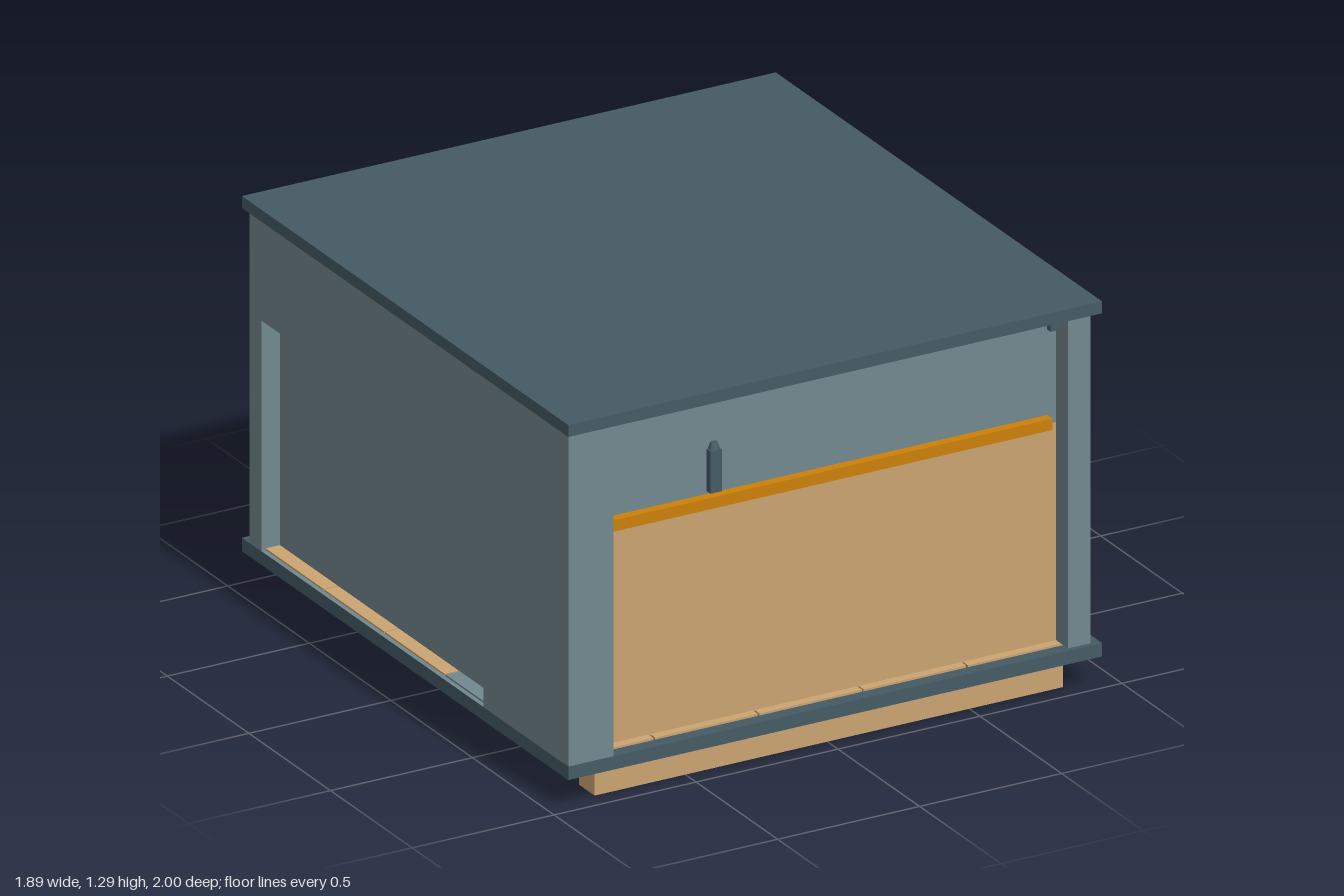
import * as THREE from 'three';

const mat = (name, color) => {
  const m = new THREE.MeshStandardMaterial({ color });
  m.name = name;
  return m;
};

export function createModel() {
  const slate = mat('dark slate', 0x455a64);
  const wall = mat('blue grey', 0x72888f);
  const wood = mat('tan wood', 0xcca472);
  const orange = mat('orange', 0xcc8008);
  const root = new THREE.Group();
  root.name = 'shed';

  const add = (name, geometry, material, parent = root) => {
    const mesh = new THREE.Mesh(geometry, material);
    mesh.name = name;
    parent.add(mesh);
    return mesh;
  };
  // Box given by its limits on each axis
  const box = (name, material, [x0, x1], [y0, y1], [z0, z1], parent = root) => {
    const mesh = add(name, new THREE.BoxGeometry(x1 - x0, y1 - y0, z1 - z0), material, parent);
    mesh.position.set((x0 + x1) / 2, (y0 + y1) / 2, (z0 + z1) / 2);
    return mesh;
  };

  // Floor slab and flat roof
  box('floorSlab', slate, [-0.95, 0.93], [0.105, 0.15], [-1, 1]);
  box('roof', slate, [-0.95, 0.93], [1.25, 1.29], [-1, 1]);

  // Walls
  const wallY = [0.158, 1.25];
  box('rightWall', wall, [0.81, 0.89], wallY, [-0.955, 1]);
  box('backWall', wall, [-0.88, 0.81], wallY, [-0.955, -0.88]);
  box('frontLeftPost', wall, [-0.88, -0.79], [0.15, 1.25], [0.9, 1]);

  // Left wall with a recessed doorway
  const side = new THREE.Shape([[-1, 0.15], [0.955, 0.15], [0.955, 1.25], [-1, 1.25]]
    .map(([a, b]) => new THREE.Vector2(a, b)));
  side.holes.push(new THREE.Path([[-0.48, 0.151], [-0.48, 0.92], [0.88, 0.92], [0.88, 0.151]]
    .map(([a, b]) => new THREE.Vector2(a, b))));
  const leftWall = add('leftWall', new THREE.ExtrudeGeometry(side, { depth: 0.07, bevelEnabled: false }), wall);
  leftWall.rotation.y = Math.PI / 2;
  leftWall.position.x = -0.95;
  box('sideDoor', wall, [-0.885, -0.865], [0.15, 0.95], [-0.9, 0.5]);

  // Front infill: timber below, wall panel above
  box('frontPanel', wood, [-0.79, 0.81], [0.15, 0.885], [0.895, 0.925]);
  box('upperPanel', wall, [-0.79, 0.81], [0.885, 1.25], [0.895, 0.925]);
  box('counterRail', orange, [-0.79, 0.78], [0.877, 0.915], [0.92, 0.957]);
  for (const [x0, x1] of [[-0.79, -0.775], [0.78, 0.81]])
    box('cornerBracket', slate, [x0, x1], [1.2, 1.25], [0.92, 0.945]);

  // Latch on the upper panel
  const latch = new THREE.Group();
  latch.name = 'latch';
  root.add(latch);
  box('latchBody', slate, [-0.42, -0.38], [0.925, 1.065], [0.92, 0.95], latch);
  const knob = add('latchKnob', new THREE.CylinderGeometry(0.012, 0.018, 0.02, 10), slate, latch);
  knob.position.set(-0.4, 1.078, 0.935);

  // Floor tiles, five by five, one row in grey
  for (let i = 0; i < 5; i++) {
    for (let k = 0; k < 5; k++) {
      const x = Math.max(-0.985 + i * 0.367, -0.935), z = 0.955 - k * 0.37;
      box('floorTile', k === 1 ? wall : wood,
        [x, -0.985 + (i + 1) * 0.367 - 0.006], [0.148, 0.157], [z - 0.364, z]);
    }
  }

  // Back duct plate with rounded hood
  box('ductPlate', wall, [-0.855, -0.65], [0.15, 0.935], [-0.99, -0.95]);
  const w = 0.29, h = 0.14, r = 0.03;
  const hoodShape = new THREE.Shape();
  hoodShape.moveTo(r, 0);
  hoodShape.lineTo(w - r, 0);
  hoodShape.absarc(w - r, r, r, -Math.PI / 2, 0);
  hoodShape.absarc(w - r, h - r, r, 0, Math.PI / 2);
  hoodShape.absarc(r, h - r, r, Math.PI / 2, Math.PI);
  hoodShape.absarc(r, r, r, Math.PI, Math.PI * 1.5);
  const hood = add('ductHood', new THREE.ExtrudeGeometry(hoodShape,
    { depth: 0.03, bevelEnabled: false, curveSegments: 5 }), slate);
  hood.position.set(-0.86, 0.865, -0.98);

  // Timber beam and pads under the slab
  box('supportBeam', wood, [-0.82, 0.83], [0, 0.105], [0.84, 0.935]);
  for (const xs of [[0.21, 0.78], [-0.91, -0.33]])
    box('underPad', wood, xs, [0.098, 0.106], [0.65, 0.96]);

  // Small tilted step tucked under the right edge
  const step = add('sideStep', new THREE.BoxGeometry(0.085, 0.018, 0.28), wall);
  const p = step.geometry.attributes.position;
  for (let i = 0; i < p.count; i++) if (p.getY(i) > 0) p.setZ(i, p.getZ(i) * 0.75);
  step.geometry.computeVertexNormals();
  step.position.set(0.895, 0.087, -0.555);
  step.rotation.z = -0.15;

  return root;
}
